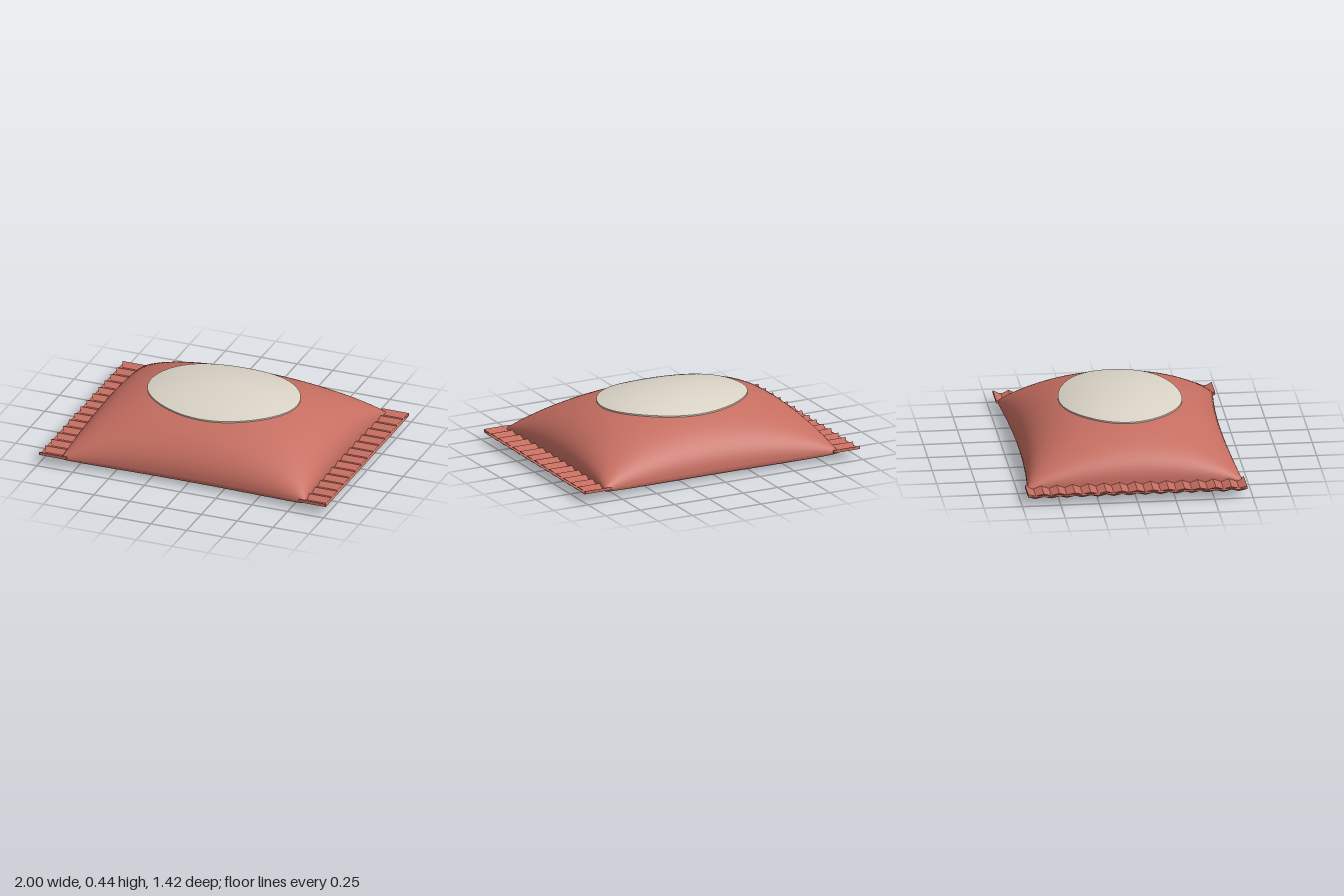
import * as THREE from 'three';

const wrapperRed = new THREE.MeshStandardMaterial({ color: 0xc66e61 });
wrapperRed.name = 'wrapper red';
const labelCream = new THREE.MeshStandardMaterial({ color: 0xdad3c6 });
labelCream.name = 'label cream';

const SEAM_Y = 0.06;

// Domed top and flattened underside, for u and v in -1..1
const topY = (u, v) => SEAM_Y + 0.368 * Math.max(0, 1 - u * u) ** 0.41 * Math.max(0, 1 - v * v) ** 0.5;
const bottomY = (u, v) =>
  SEAM_Y - SEAM_Y * Math.min(1, 1.25 * Math.max(0, (1 - u * u) * (1 - v * v)) ** 0.27);

// Pillow outline: pinched sides that flare to the corners
const halfX = v => 0.835 + 0.015 * v * v;
const halfZ = u => 0.662 + 0.04 * u * u;

// Smooth grid surface from a function of two parameters in 0..1
function sheet(nu, nv, point, flip) {
  const positions = [], index = [];
  for (let i = 0; i <= nu; i++)
    for (let j = 0; j <= nv; j++) positions.push(...point(i / nu, j / nv));
  for (let i = 0; i < nu; i++)
    for (let j = 0; j < nv; j++) {
      const a = i * (nv + 1) + j, b = a + 1, c = a + nv + 1, d = c + 1;
      if (flip) index.push(a, c, b, b, c, d);
      else index.push(a, b, c, b, d, c);
    }
  const g = new THREE.BufferGeometry();
  g.setAttribute('position', new THREE.Float32BufferAttribute(positions, 3));
  g.setIndex(index);
  g.computeVertexNormals();
  return g;
}

function pillowHalf(heightAt, flip) {
  // Sine spacing packs the rows toward the rounded edges
  const spread = t => Math.sin((t - 0.5) * Math.PI);
  return sheet(56, 48, (s, t) => {
    const u = spread(s), v = spread(t);
    return [u * halfX(v), heightAt(u, v), v * halfZ(u)];
  }, flip);
}

// Point on the label ellipse, lifted off the dome
function labelPoint(angle, r, lift) {
  const x = 0.51 * r * Math.cos(angle), z = 0.4 * r * Math.sin(angle);
  const v = z / halfZ(x / 0.84);
  return [x, topY(x / halfX(v), v) + lift, z];
}

// Pleated end seal: a thin zigzag strip with a pinked outer edge
function crimpGeometry() {
  const folds = 28, half = 0.712, step = (2 * half) / folds;
  const foldY = i => (i % 2 ? 0.062 : 0.081);
  const shape = new THREE.Shape();
  for (let i = 0; i <= folds; i++) {
    const z = -half + i * step;
    if (i === 0) shape.moveTo(z, foldY(i));
    else shape.lineTo(z, foldY(i));
  }
  for (let i = folds; i >= 0; i--) shape.lineTo(-half + i * step, foldY(i) - 0.02);
  shape.closePath();
  const g = new THREE.ExtrudeGeometry(shape, { depth: 0.19, bevelEnabled: false });
  g.rotateY(Math.PI / 2).translate(0.81, 0, 0);
  const p = g.attributes.position;
  for (let i = 0; i < p.count; i++) {
    const fold = Math.round((p.getZ(i) + half) / step);
    if (p.getX(i) > 0.95 && fold % 2) p.setX(i, 0.98);
  }
  g.computeVertexNormals();
  return g;
}

export function createModel() {
  const group = new THREE.Group();
  const add = (name, geometry, material) => {
    const mesh = new THREE.Mesh(geometry, material);
    mesh.name = name;
    group.add(mesh);
    return mesh;
  };

  // Filled packet body
  add('packetTop', pillowHalf(topY, false), wrapperRed);
  add('packetUnderside', pillowHalf(bottomY, true), wrapperRed);

  // Crimped seals at both ends
  const crimp = crimpGeometry();
  add('leftCrimp', crimp, wrapperRed);
  add('rightCrimp', crimp, wrapperRed).rotation.y = Math.PI;

  // Oval label and its thin edge
  const turn = Math.PI * 2;
  add('label', sheet(64, 14, (s, t) => labelPoint(s * turn, t, 0.009), true), labelCream);
  add('labelEdge', sheet(64, 1, (s, t) => labelPoint(s * turn, 1, t ? -0.001 : 0.009), true), labelCream);

  return group;
}
